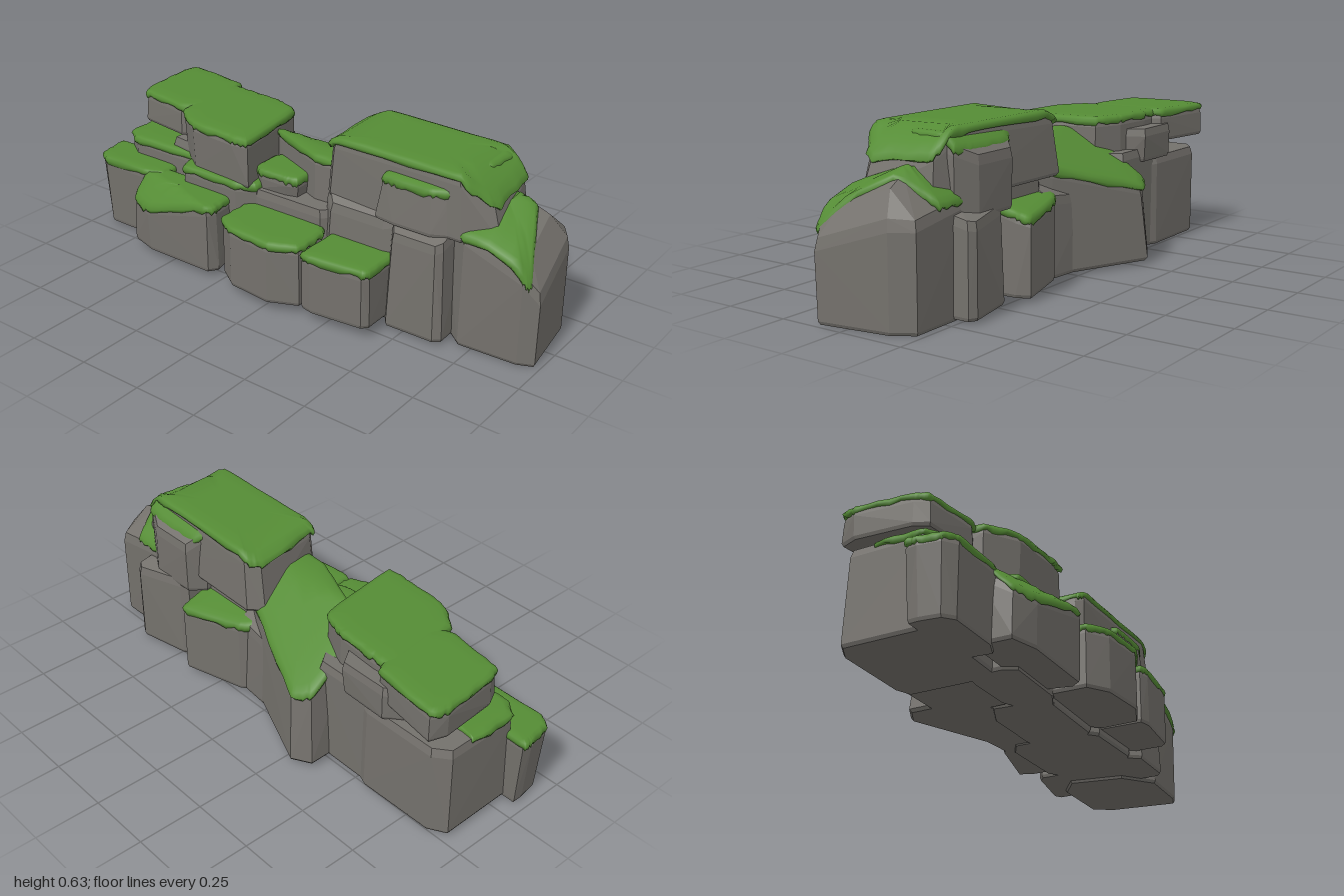
import * as THREE from 'three';
import { ConvexGeometry } from 'three/addons/geometries/ConvexGeometry.js';

const stone = new THREE.MeshStandardMaterial({ name: 'stone grey', color: 0x74716c });
const moss = new THREE.MeshStandardMaterial({ name: 'moss green', color: 0x558c35 });

// Seeded random numbers, so the model is the same every time
function makeRandom(seed) {
  return () => (seed = (seed * 16807) % 2147483647) / 2147483647;
}

// Rectangle with unevenly cut corners, clockwise from above; skew slants it along x, lean along z
function footprint(cx, cz, halfX, halfZ, skew, lean, random) {
  const poly = [];
  for (let corner = 0; corner < 4; corner++) {
    const sx = corner === 1 || corner === 2 ? 1 : -1;
    const sz = corner < 2 ? -1 : 1;
    const cutX = 0.06 + random() * 0.55, cutZ = 0.06 + random() * 0.5;
    const pair = [[sx * (1 - cutX), sz], [sx, sz * (1 - cutZ)]];
    if (corner % 2 === 0) pair.reverse();
    for (const [u, v] of pair) {
      poly.push([cx + u * halfX + v * halfZ * lean, cz + v * halfZ + u * halfX * skew]);
    }
  }
  return poly;
}

// Faceted boulder: hull of a bevelled top, following the height rule, and an uneven flared foot
function boulder(poly, cx, cz, y0, height, flare, random) {
  const pts = [];
  for (const [px, pz] of poly) {
    const add = (s, rule) => {
      const x = cx + (px - cx) * s, z = cz + (pz - cz) * s;
      pts.push(new THREE.Vector3(x, rule(x, z), z));
    };
    for (const s of [0.33, 0.66, 0.96]) add(s, height);
    add(1, (x, z) => Math.max(y0 + 0.02, height(x, z) - 0.03));
    const foot = flare - random() * 0.08;
    add(foot, () => y0 + 0.012);
    add(foot * 0.97, () => y0);
  }
  return new ConvexGeometry(pts);
}

// Soft moss blanket: concentric rings draped over the height rule, with a ragged lip
function blanket(poly, cx, cz, height, random) {
  const n = 56;
  const curve = new THREE.CatmullRomCurve3(
    poly.map(([x, z]) => new THREE.Vector3(x, 0, z)), true, 'catmullrom', 0.15);
  const edge = curve.getPoints(n).slice(0, n).map(p => ({
    x: p.x, z: p.z, wide: 1 + (random() - 0.5) * 0.035, drop: 0.012 + random() * 0.014 }));
  // Each ring: scale from the centre, and lift (negative hangs down the side)
  const rings = [[0.9, -1], [1.005, -1], [1.025, -0.35], [0.99, 0.2], [0.9, 0.4], [0.65, 0.45], [0.35, 0.45], [0, 0.45]];
  const pos = [], index = [];
  rings.forEach(([s, k], r) => {
    edge.forEach((e, i) => {
      const w = s * (s > 0.95 ? e.wide : 1);
      const x = cx + (e.x - cx) * w, z = cz + (e.z - cz) * w;
      pos.push(x, height(x, z) + k * (k < 0 ? e.drop : 0.025), z);
      if (r === 0) return;
      const j = (i + 1) % n, a = (r - 1) * n, b = r * n;
      index.push(a + i, b + i, a + j, a + j, b + i, b + j);
    });
  });
  const g = new THREE.BufferGeometry();
  g.setAttribute('position', new THREE.Float32BufferAttribute(pos, 3));
  g.setIndex(index);
  g.computeVertexNormals();
  return g;
}

export function createModel() {
  const model = new THREE.Group();
  model.name = 'mossyRocks';
  const random = makeRandom(7);

  // A rock between x, z and y limits; dip lowers its top, mossEnd and mossBack stop the moss in x and z
  function rock(name, [x0, x1], [z0, z1], [y0, y1],
    { flare = 1.04, skew = 0, lean = 0, mossy = true, mossEnd = () => 1, mossBack = -1, dip = () => 0 } = {}) {
    const cx = (x0 + x1) / 2, cz = (z0 + z1) / 2;
    const poly = footprint(cx, cz, (x1 - x0) / 2, (z1 - z0) / 2, skew, lean, random);
    const height = (x, z) => y1 - dip(x, z);
    const group = new THREE.Group();
    group.name = name;
    const body = new THREE.Mesh(boulder(poly, cx, cz, y0, height, flare, random), stone);
    body.name = 'stoneBody';
    group.add(body);
    if (mossy) {
      const outline = poly.map(([x, z]) => [Math.min(x, mossEnd(z)), Math.max(z, mossBack)]);
      const cap = new THREE.Mesh(blanket(outline, cx, cz, height, random), moss);
      cap.name = 'mossCap';
      group.add(cap);
    }
    model.add(group);
  }

  // Low front row
  rock('frontFarLeftRock', [-0.98, -0.64], [0.05, 0.21], [0.01, 0.29], { flare: 0.95, lean: 0.15 });
  rock('frontLeftRock', [-0.71, -0.29], [0.14, 0.31], [0.02, 0.285],
    { lean: 0.1, dip: (x, z) => Math.max(0, z - 0.2 - (x + 0.7) * 0.3) });
  rock('frontMiddleRock', [-0.23, 0.14], [0.1, 0.36], [0.035, 0.27], { flare: 1.06, skew: 0.1 });
  rock('frontRightRock', [0.16, 0.43], [0.13, 0.33], [0.04, 0.26], { flare: 1.05, skew: -0.1 });

  // Left mass
  rock('leftBaseRock', [-0.91, -0.5], [-0.26, 0.11], [0.01, 0.365], { mossBack: -0.12, flare: 1.05 });
  rock('leftBackRock', [-0.66, -0.27], [-0.25, 0.1], [0.015, 0.41], { mossy: false, flare: 1.06 });
  rock('leftMiddleRock', [-0.54, -0.19], [0, 0.19], [0.01, 0.355]);
  rock('upperFarLeftRock', [-0.88, -0.56], [-0.27, 0.06], [0.42, 0.54], { lean: 0.1, skew: 0.15 });
  rock('upperBackLeftRock', [-0.7, -0.4], [-0.27, 0], [0.36, 0.49], { mossy: false, flare: 1 });
  rock('upperLeftRock', [-0.61, -0.23], [-0.21, 0.18], [0.35, 0.54], { lean: 0.15, skew: 0.08 });

  // Sloping middle mass
  rock('middleRock', [-0.34, 0.18], [-0.27, 0.03], [0.015, 0.505],
    { flare: 1.14, skew: 0.42, dip: (x, z) => Math.max(0, -0.04 - z) * 0.66 });
  rock('middleBackRock', [-0.1, 0.17], [-0.23, -0.06], [0.015, 0.43],
    { mossy: false, skew: 0.12, flare: 1.14, dip: (x, z) => Math.max(0, -0.09 - z) * 0.9 });
  rock('middleLedgeRock', [-0.22, -0.02], [-0.06, 0.13], [0.33, 0.41], { flare: 0.98 });
  rock('middleFrontRock', [-0.26, 0.16], [-0.1, 0.15], [0.01, 0.34], { mossy: false });

  // Right mass
  rock('centreRock', [0.11, 0.47], [-0.18, 0.15], [0.01, 0.47],
    { mossy: false, flare: 1.14, dip: (x, z) => Math.max(0, z - 0.04) * 0.8 });
  rock('rightBackLowRock', [0.08, 0.41], [-0.27, -0.05], [0.015, 0.32],
    { skew: -0.28, flare: 1.06, dip: (x, z) => (-0.2 - z) * 0.25 });
  rock('rightBackRock', [0.46, 0.71], [-0.28, 0.02], [0.01, 0.39],
    { mossy: false, skew: -0.25, flare: 1.08, dip: (x, z) => Math.max(0, -0.12 - z) * 0.3 });
  rock('rightButtressRock', [0.42, 0.64], [-0.05, 0.19], [0.01, 0.43],
    { mossy: false, flare: 1.14, dip: (x, z) => Math.max(0, z - 0.05) * 0.4 });
  rock('farRightRock', [0.56, 0.96], [-0.23, 0.14], [0, 0.505], {
    lean: 0.16,
    mossEnd: z => 0.89 + z * 0.5,
    dip: (x, z) => Math.max((-0.1 - z) * 0.8, (z + 0.1) * 0.35)
      + Math.max(0, x - 0.78) * 0.35 + Math.max(0, x - 0.9) });
  rock('upperBackRightRock', [0.38, 0.69], [-0.26, 0], [0.33, 0.605],
    { mossBack: -0.235, flare: 1.06, dip: (x, z) => Math.max(0, -0.18 - z) * 0.9 });
  rock('upperFrontLedgeRock', [0.37, 0.64], [0, 0.15], [0.39, 0.57],
    { flare: 1.2, dip: (x, z) => Math.max(0, z - 0.05) * 0.2 });
  rock('upperRightRock', [0.1, 0.76], [-0.21, 0.12], [0.39, 0.62],
    { flare: 1.12, lean: 0.12, skew: 0.03, dip: x => Math.max(0, (x - 0.67) * 0.9, (0.16 - x) * 0.4) });
  return model;
}
